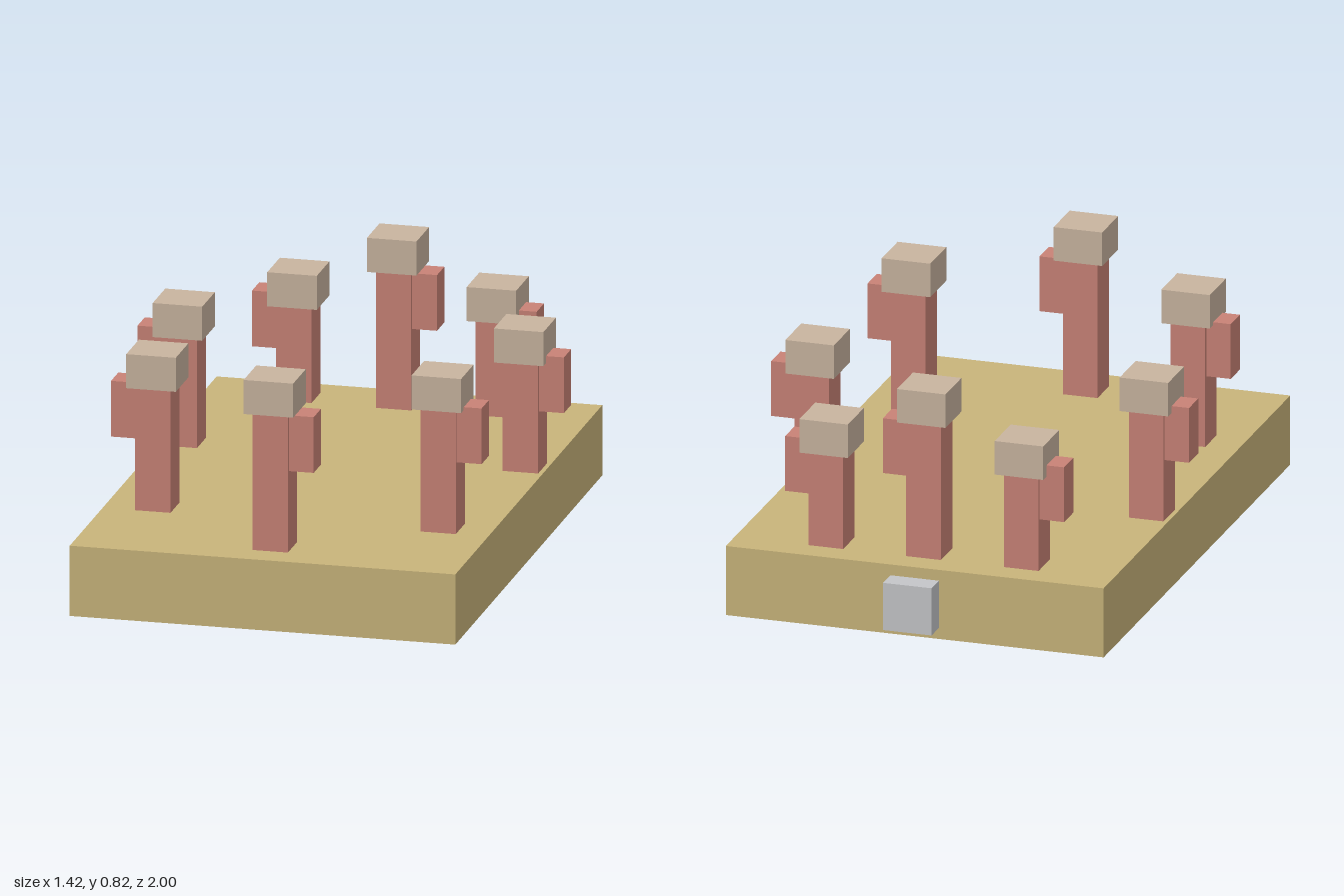
import * as THREE from 'three';

const mat = (name, color) => {
  const m = new THREE.MeshStandardMaterial({ color });
  m.name = name;
  return m;
};

export function createModel() {
  const sand = mat('sand', 0xc8b47a);
  const clay = mat('clay red', 0xc88276);
  const stone = mat('pale stone', 0xc8b49f);
  const grey = mat('light grey', 0xc4c5c8);

  const model = new THREE.Group();
  model.name = 'pillarCircle';

  const box = (parent, name, material, size, pos) => {
    const mesh = new THREE.Mesh(new THREE.BoxGeometry(...size), material);
    mesh.name = name;
    mesh.position.set(...pos);
    parent.add(mesh);
  };

  // Slab and the plate on its back edge
  const top = 0.237;
  box(model, 'base', sand, [1.284, top, 1.924], [0, top / 2, 0.038]);
  box(model, 'backPlate', grey, [0.165, 0.162, 0.076], [0, 0.119, -0.962]);

  // Post with a square cap and a short arm on its outer side
  const addPillar = (x, z, height) => {
    const pillar = new THREE.Group();
    pillar.name = 'pillar';
    pillar.position.set(x, top, z);
    const side = x < 0 ? -1 : 1;
    box(pillar, 'post', clay, [0.118, height, 0.118], [0, height / 2, 0]);
    box(pillar, 'cap', stone, [0.165, 0.115, 0.165], [0, height + 0.0575, 0]);
    box(pillar, 'arm', clay, [0.083, 0.188, 0.095], [side * 0.1005, 0.041 + 0.7 * height, 0]);
    model.add(pillar);
  };

  // Ring of pillars: two on the centre line, three mirrored pairs
  addPillar(0, 0.841, 0.464);
  addPillar(0, -0.774, 0.464);
  for (const s of [-1, 1]) {
    addPillar(s * 0.475, 0.51, 0.417);
    addPillar(s * 0.568, -0.202, 0.371);
    addPillar(s * 0.332, -0.774, 0.323);
  }
  return model;
}
